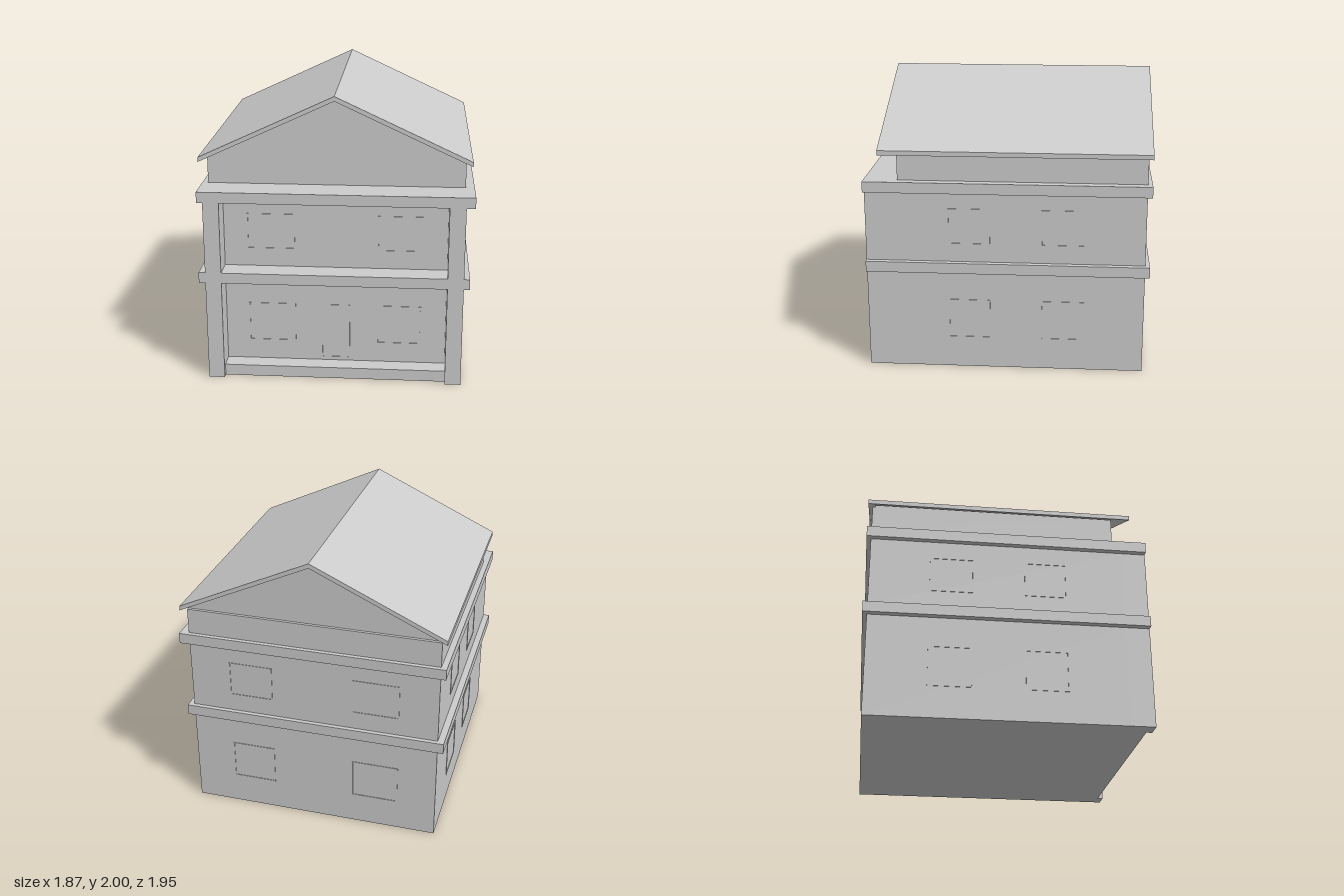
import * as THREE from 'three';

export function createModel() {
  const house = new THREE.Group();
  house.name = 'house';
  const material = new THREE.MeshStandardMaterial({ color: 0xcccccc, flatShading: true });

  const add = (name, geometry, parent = house) => {
    const mesh = new THREE.Mesh(geometry, material);
    mesh.name = name;
    parent.add(mesh);
    return mesh;
  };
  // box given by its limits on each axis
  const box = (name, x0, x1, y0, y1, z0, z1) => {
    const g = new THREE.BoxGeometry(x1 - x0, y1 - y0, z1 - z0);
    g.translate((x0 + x1) / 2, (y0 + y1) / 2, (z0 + z1) / 2);
    return add(name, g);
  };
  // outline in x, y extruded from z0 to z1
  const prism = (name, points, z0, z1) => {
    const shape = new THREE.Shape(points.map(([x, y]) => new THREE.Vector2(x, y)));
    const g = new THREE.ExtrudeGeometry(shape, { depth: z1 - z0, bevelEnabled: false });
    g.translate(0, 0, z0);
    return add(name, g);
  };

  const L = -0.89, R = 0.87, back = -0.94, facade = 0.81, front = 0.975;

  // two storeys with recessed porches between corner pillars
  for (const [storey, y0, y1] of [['lower', 0, 0.71], ['upper', 0.785, 1.285]]) {
    box(storey + 'Storey', L, R, y0, y1, back, facade);
    box(storey + 'PillarRight', L, -0.78, y0, y1, facade, front);
    box(storey + 'PillarLeft', 0.76, R, y0, y1, facade, front);
  }
  box('porchStep', -0.78, 0.76, 0, 0.08, facade, 0.935);

  // floor slabs
  box('middleSlab', -0.935, 0.91, 0.71, 0.785, -0.97, front);
  box('upperSlab', -0.93, 0.93, 1.285, 1.36, -0.97, front);

  // attic with gable, and the low wall behind it
  prism('attic', [[L, 1.36], [R, 1.36], [R, 1.555], [-0.01, 1.967], [L, 1.555]], -0.92, 0.745);
  box('atticBackWall', L, R, 1.36, 1.54, back, -0.92);

  // pitched roof sheet
  prism('roof', [[-0.93, 1.54], [-0.01, 1.967], [0.91, 1.54], [0.91, 1.572], [-0.01, 2], [-0.93, 1.572]], -0.97, 0.87);

  // thin rectangular frame lying on a wall that faces +z
  const frame = (name, parent, x0, x1, y0, y1) => {
    const rect = (Type, i) => new Type([[x0 + i, y0 + i], [x1 - i, y0 + i], [x1 - i, y1 - i], [x0 + i, y1 - i]]
      .map(([x, y]) => new THREE.Vector2(x, y)));
    const shape = rect(THREE.Shape, 0);
    shape.holes.push(rect(THREE.Path, 0.008));
    add(name, new THREE.ExtrudeGeometry(shape, { depth: 0.004, bevelEnabled: false }), parent);
  };
  // each wall: name, turn about y, distance from centre, window spans along the wall
  const walls = [
    ['front', 0, facade, [[-0.62, -0.29], [0.28, 0.59]]],
    ['back', Math.PI, -back, [[-0.59, -0.28], [0.29, 0.62]]],
    ['left', Math.PI / 2, R, [[-0.41, -0.12], [0.23, 0.53]]],
    ['right', -Math.PI / 2, -L, [[0.12, 0.41], [-0.53, -0.23]]],
  ];
  for (const [side, turn, distance, spans] of walls) {
    const group = new THREE.Group();
    group.name = side + 'Openings';
    group.rotation.y = turn;
    group.position.set(Math.sin(turn) * distance, 0, Math.cos(turn) * distance);
    for (const [a, b] of spans) {
      frame(side + 'LowerWindow', group, a, b, 0.22, 0.505);
      frame(side + 'UpperWindow', group, a, b, 0.91, 1.165);
    }
    if (side === 'front') frame('door', group, -0.11, 0.09, 0.1, 0.505);
    house.add(group);
  }
  return house;
}
